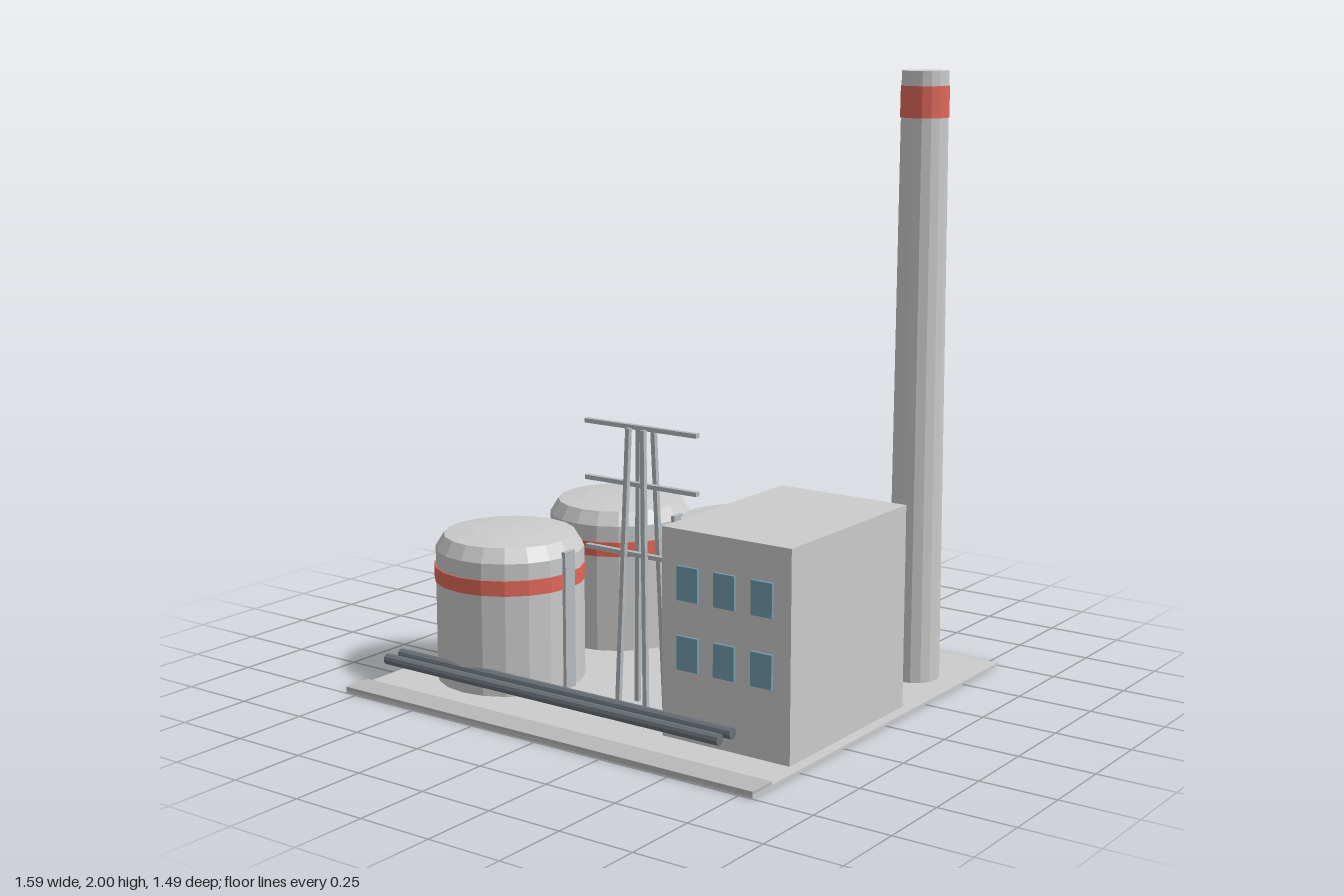
import * as THREE from 'three';

const paint = (color) => new THREE.MeshStandardMaterial({ color, flatShading: true });

export function createModel() {
  const model = new THREE.Group();
  model.name = 'factory';
  const grey = paint(0xcccccc);
  const kerbGrey = paint(0xb8b8b8);
  const red = paint(0xe0685a);
  const glass = paint(0x749dae);
  const steel = paint(0xb4bbbf);
  const pipeGrey = paint(0x6b7278);

  const add = (parent, name, geometry, material, x = 0, y = 0, z = 0) => {
    const mesh = new THREE.Mesh(geometry, material);
    mesh.name = name;
    mesh.position.set(x, y, z);
    parent.add(mesh);
    return mesh;
  };
  const group = (name, x = 0, z = 0) => {
    const g = new THREE.Group();
    g.name = name;
    g.position.set(x, 0, z);
    model.add(g);
    return g;
  };
  const box = (w, h, d) => new THREE.BoxGeometry(w, h, d);

  // Ground slab with a raised strip along the front
  add(model, 'groundSlab', box(1.59, 0.01, 1.49), grey, 0, 0.005, 0);
  add(model, 'frontStrip', box(1.59, 0.02, 0.1), kerbGrey, 0, 0.01, 0.695);

  // Storage tanks: shell with chamfered shoulder and shallow roof, band, ladder
  const shell = [
    [0, 0.005], [0.245, 0.005], [0.245, 0.45], [0.217, 0.496], [0.12, 0.507], [0, 0.512],
  ].map(([r, y]) => new THREE.Vector2(r, y));
  for (const [x, z] of [[-0.468, -0.3], [0.06, -0.3], [-0.468, 0.3]]) {
    const tank = group('tank', x, z);
    add(tank, 'tankShell', new THREE.LatheGeometry(shell, 20), grey);
    add(tank, 'tankBand', new THREE.CylinderGeometry(0.25, 0.25, 0.05, 20), red, 0, 0.37, 0);
    add(tank, 'tankLadder', box(0.014, 0.46, 0.05), steel, 0.246, 0.238, 0);
  }

  // Tall tapered chimney
  const chimney = group('chimney', 0.627, -0.465);
  add(chimney, 'chimneyStack', new THREE.CylinderGeometry(0.075, 0.086, 1.995, 16), grey, 0, 1.0025, 0);
  add(chimney, 'chimneyBand', new THREE.CylinderGeometry(0.0775, 0.0785, 0.1, 16), red, 0, 1.903, 0);

  // Office block with two rows of windows on the front
  const building = group('building', 0.527, 0.165);
  add(building, 'walls', box(0.462, 0.66, 0.66), grey, 0, 0.338, 0);
  for (const y of [0.287, 0.504]) {
    for (const x of [-0.133, 0, 0.133]) {
      add(building, 'window', box(0.075, 0.106, 0.016), glass, x, y, 0.332);
    }
  }

  // Lattice mast: four leaning legs and three cross arms
  const mast = group('mast', 0.095, 0.33);
  const up = new THREE.Vector3(0, 1, 0);
  for (const sx of [-1, 1]) {
    for (const sz of [-1, 1]) {
      const foot = new THREE.Vector3(sx * 0.055, 0.005, sz * 0.052);
      const head = new THREE.Vector3(sx * 0.028, 0.917, sz * 0.027);
      const span = head.clone().sub(foot);
      const leg = add(mast, 'mastLeg', box(0.015, span.length(), 0.015), steel);
      leg.position.addVectors(foot, head).multiplyScalar(0.5);
      leg.quaternion.setFromUnitVectors(up, span.normalize());
    }
  }
  for (const y of [0.51, 0.735, 0.917]) {
    add(mast, 'crossArm', box(0.43, 0.014, 0.018), steel, 0, y, 0);
  }

  // Pair of long pipes along the front
  for (const z of [0.53, 0.597]) {
    const pipe = add(model, 'pipe', new THREE.CylinderGeometry(0.018, 0.018, 1.33, 10), pipeGrey, -0.085, 0.085, z);
    pipe.rotation.z = Math.PI / 2;
  }

  return model;
}
